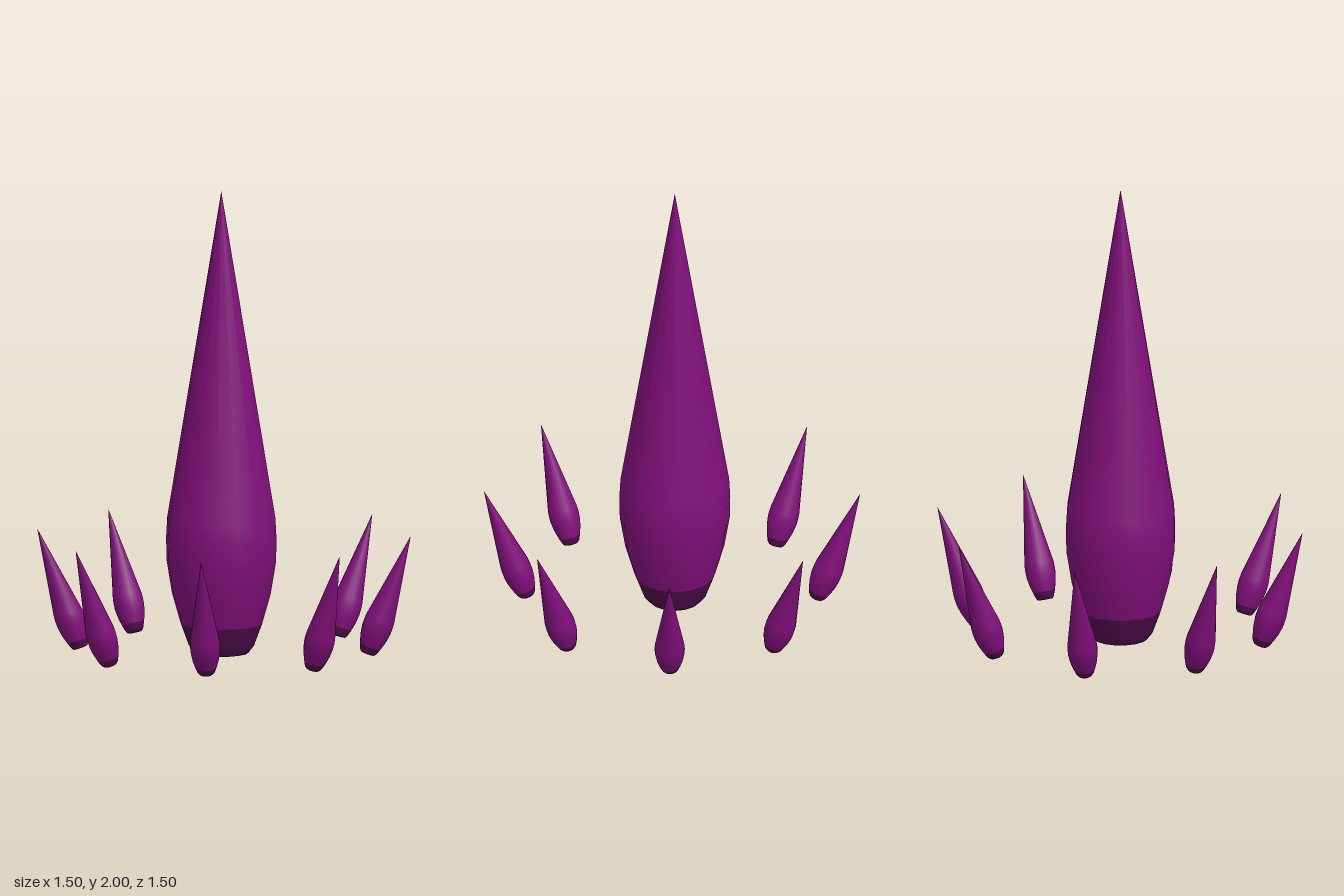
import * as THREE from 'three';

const bodyMaterial = new THREE.MeshStandardMaterial({ color: 0x800f7a });
const baseMaterial = new THREE.MeshStandardMaterial({ color: 0x500c4c });

// Smooth 16-sided solid of revolution from [radius, height] pairs
function lathe(name, profile, material) {
  const points = profile.map(([r, y]) => new THREE.Vector2(r, y));
  const mesh = new THREE.Mesh(new THREE.LatheGeometry(points, 16), material);
  mesh.name = name;
  return mesh;
}

// A long pointed spike on a rounded, darker base
function createSpike(name) {
  const spike = new THREE.Group();
  spike.name = name;
  spike.add(
    lathe('spikeBody', [[0.175, 0.13], [0.212, 0.26], [0.235, 0.4], [0.237, 0.5], [0.232, 0.59], [0, 2]], bodyMaterial),
    lathe('spikeBase', [[0, 0], [0.115, 0.003], [0.14, 0.035], [0.175, 0.13]], baseMaterial)
  );
  return spike;
}

export function createModel() {
  const model = new THREE.Group();
  model.name = 'spikeCluster';

  // Tall central spike
  const centre = createSpike('centralSpike');
  centre.position.x = -0.013;
  model.add(centre);

  // Ring of eight small spikes leaning outward
  const ring = new THREE.Group();
  ring.name = 'spikeRing';
  for (let i = 0; i < 8; i++) {
    const holder = new THREE.Group();
    holder.name = 'outerSpikeHolder';
    holder.rotation.y = THREE.MathUtils.degToRad(21 + i * 45);
    const spike = createSpike('outerSpike');
    spike.scale.setScalar(0.272);
    spike.position.set(0.618, 0.014, 0);
    spike.rotation.z = THREE.MathUtils.degToRad(-20);
    holder.add(spike);
    ring.add(holder);
  }
  model.add(ring);

  return model;
}
